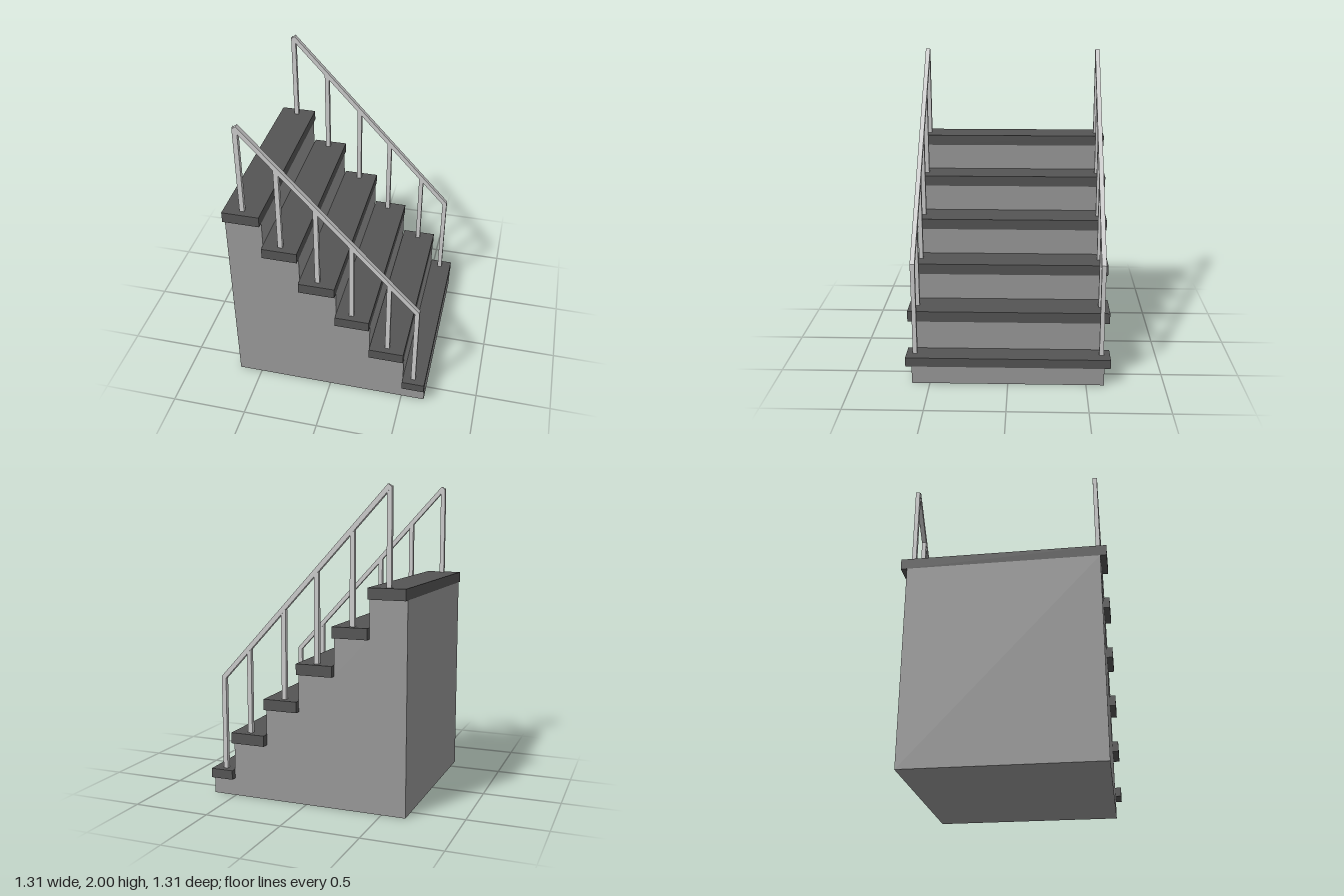
import * as THREE from 'three';

// Each step: [back x, front x, tread underside, tread top]
const STEPS = [
  [-0.655, -0.418, 1.328, 1.398],
  [-0.418, -0.19, 1.085, 1.155],
  [-0.19, 0.047, 0.842, 0.912],
  [0.047, 0.272, 0.6, 0.67],
  [0.275, 0.505, 0.36, 0.43],
  [0.505, 0.655, 0.115, 0.175],
];
const POSTS = [-0.537, -0.307, -0.074, 0.148, 0.39, 0.574];
const BAR = 0.03;
const BODY_HALF = 0.615, TREAD_HALF = 0.655, RAIL_Z = 0.6;

// Height of the handrail's upper edge at x
const railTop = (x) => 2.0 - (x + 0.527) * 1.088;

function paint(color) {
  return new THREE.MeshStandardMaterial({ color, flatShading: true });
}

// Side outline extruded along z, centred on z = 0
function slab(points, depth) {
  const shape = new THREE.Shape(points.map(([x, y]) => new THREE.Vector2(x, y)));
  return new THREE.ExtrudeGeometry(shape, { depth, bevelEnabled: false }).translate(0, 0, -depth / 2);
}

function add(parent, name, geometry, material) {
  const mesh = new THREE.Mesh(geometry, material);
  mesh.name = name;
  parent.add(mesh);
  return mesh;
}

export function createModel() {
  const model = new THREE.Group();
  model.name = 'staircase';
  const bodyMat = paint(0x999999), treadMat = paint(0x555555), railMat = paint(0xcccccc);

  // Solid stepped base
  const outline = [[-0.655, 0], [0.655, 0]];
  for (let i = STEPS.length - 1; i >= 0; i--) {
    const back = i > 0 ? STEPS[i - 1][1] : STEPS[i][0];
    outline.push([STEPS[i][1], STEPS[i][2]], [back, STEPS[i][2]]);
  }
  add(model, 'base', slab(outline, BODY_HALF * 2), bodyMat);

  // Overhanging treads
  STEPS.forEach(([x0, x1, y0, y1], i) => {
    const tread = add(model, `tread${i + 1}`, new THREE.BoxGeometry(x1 - x0, y1 - y0, TREAD_HALF * 2), treadMat);
    tread.position.set((x0 + x1) / 2, (y0 + y1) / 2, 0);
  });

  // A railing on each side: sloping handrail and one post per step
  for (const side of [1, -1]) {
    const railing = new THREE.Group();
    railing.name = side > 0 ? 'frontRailing' : 'backRailing';
    railing.position.z = side * RAIL_Z;
    model.add(railing);

    const end = 0.589, drop = 0.044;
    add(railing, 'handrail', slab([
      [-0.551, railTop(-0.551) - drop], [end, railTop(end) - drop],
      [end, railTop(end)], [-0.527, 2.0],
    ], BAR), railMat);

    POSTS.forEach((x, i) => {
      // Post head is cut to the slope, just inside the handrail
      const l = x - BAR / 2, r = x + BAR / 2, foot = STEPS[i][3], sink = drop - 0.005;
      add(railing, `post${i + 1}`, slab([
        [l, foot], [r, foot], [r, railTop(r) - sink], [l, railTop(l) - sink],
      ], BAR - 0.002), railMat);
    });
  }
  return model;
}
